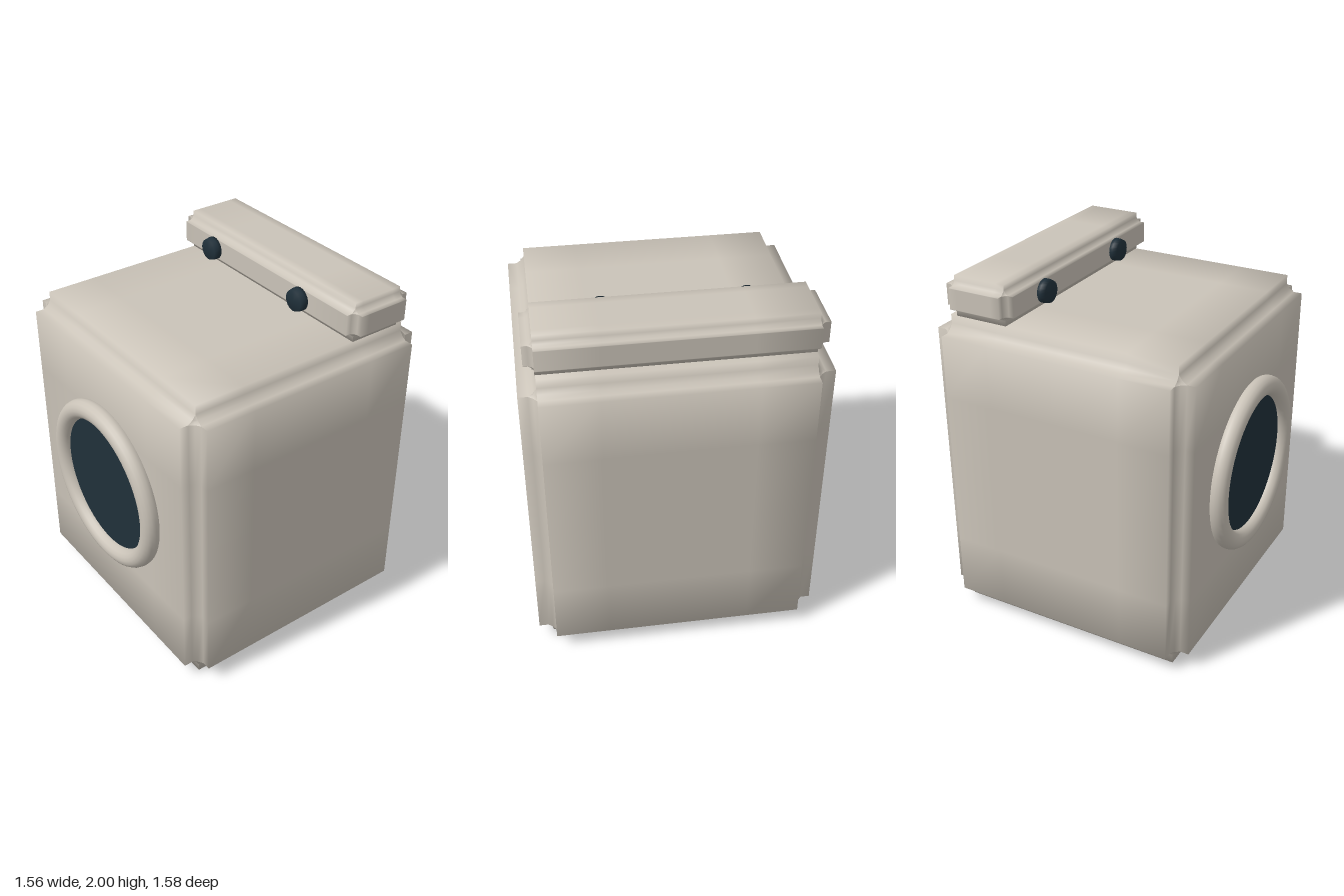
import * as THREE from 'three';

// Box with a stepped cove along every edge and softly shaded panels.
// half: half-extents; inset, wall, mid: depths of the cove profile.
function covedBox(half, inset, wall, mid) {
  const g = new THREE.BoxGeometry(2, 2, 2, 8, 8, 8);
  const p = g.attributes.position, n = g.attributes.normal;
  for (let i = 0; i < p.count; i++) {
    const pos = [p.getX(i), p.getY(i), p.getZ(i)];
    const nor = [n.getX(i), n.getY(i), n.getZ(i)];
    const axis = nor.findIndex(c => Math.abs(c) > 0.5);
    let depth = 0;
    const out = [0, 0, 0], dir = [0, 0, 0];
    for (let k = 0; k < 3; k++) {
      if (k === axis) continue;
      const s = Math.sign(pos[k]), step = Math.round(Math.abs(pos[k]) * 4);
      const h = half[k];
      // steps: centre, panel, panel rim, foot of the wall, middle of the cove
      out[k] = s * [0, h * 0.5, h - inset, h - inset, h - mid][step];
      dir[k] = s * [0, 0, 0.5, 2, 1][step];
      depth = Math.max(depth, [0, 0, 0, wall, mid][step]);
    }
    out[axis] = nor[axis] * (half[axis] - depth);
    dir[axis] = nor[axis];
    p.setXYZ(i, ...out);
    n.setXYZ(i, ...new THREE.Vector3(...dir).normalize().toArray());
  }
  return g;
}

export function createModel() {
  const group = new THREE.Group();
  const enamel = new THREE.MeshStandardMaterial({ color: 0xcac3b8 });
  enamel.name = 'warm grey enamel';
  const dark = new THREE.MeshStandardMaterial({ color: 0x20303a });
  dark.name = 'dark blue glass';

  const add = (name, geometry, material, x, y, z) => {
    const mesh = new THREE.Mesh(geometry, material);
    mesh.name = name;
    mesh.position.set(x, y, z);
    group.add(mesh);
    return mesh;
  };

  // Cabinet and raised control panel at the back
  add('cabinet', covedBox([0.78, 0.888, 0.75], 0.093, 0.05, 0.075), enamel, 0, 0.892, -0.04);
  add('controlPanel', covedBox([0.742, 0.11, 0.203], 0.052, 0.028, 0.042), enamel, 0, 1.89, -0.505);

  // Round door: rim and glass
  add('doorRim', new THREE.TorusGeometry(0.435, 0.055, 16, 64), enamel, 0, 0.94, 0.733);
  add('doorGlass', new THREE.CircleGeometry(0.4, 64), dark, 0, 0.94, 0.735);

  // Two knobs on short stems
  const knobProfile = [[0, 0], [0.032, 0], [0.032, 0.012], [0.064, 0.012], [0.064, 0.03], [0.058, 0.058], [0, 0.058]]
    .map(([r, h]) => new THREE.Vector2(r, h));
  for (const [name, x] of [['rightKnob', -0.412], ['leftKnob', 0.333]]) {
    const knob = add(name, new THREE.LatheGeometry(knobProfile, 24), dark, x, 1.89, -0.313);
    knob.rotation.x = Math.PI / 2;
  }
  return group;
}
